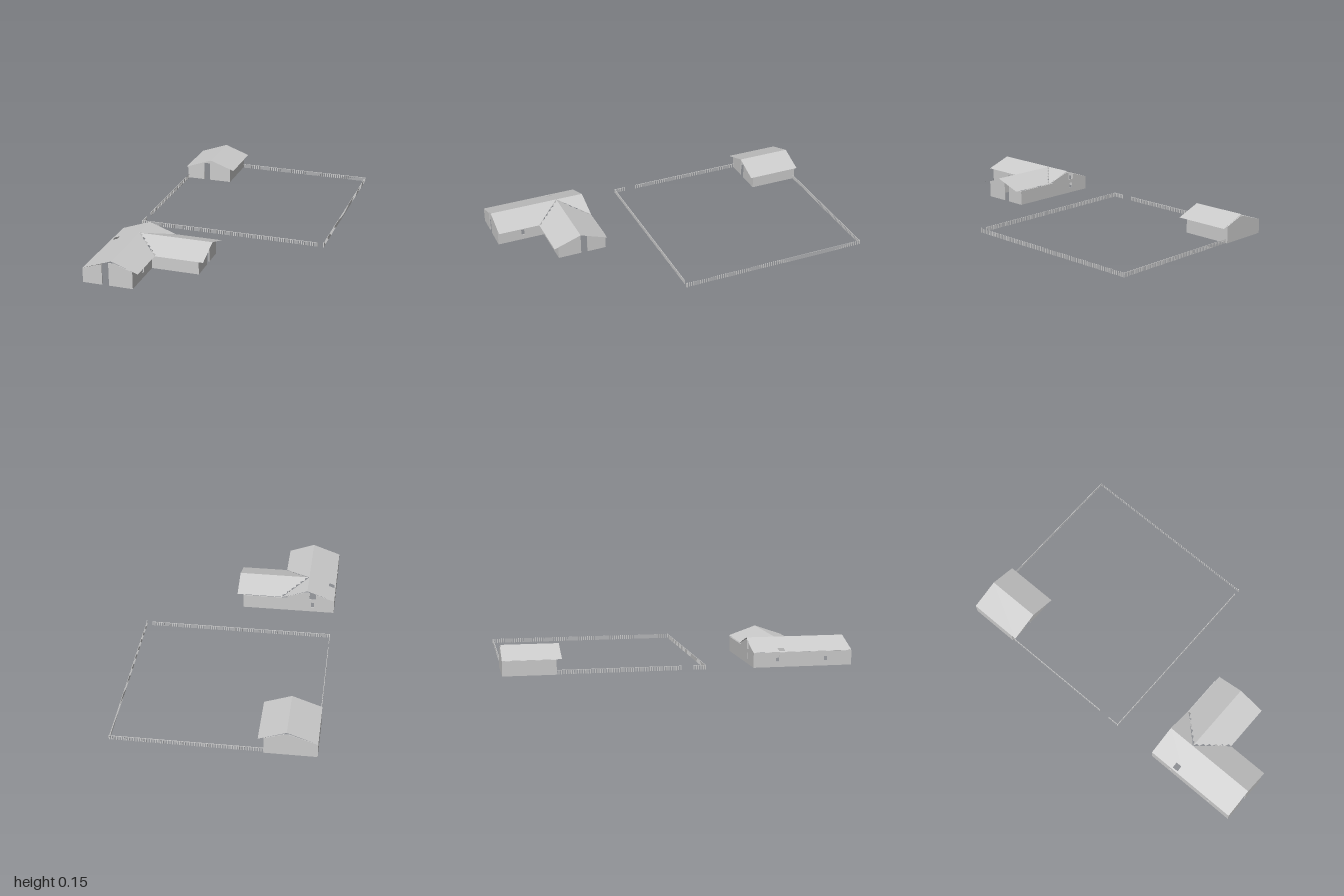
import * as THREE from 'three';

const T = 0.005; // wall thickness
const mat = new THREE.MeshStandardMaterial({ color: 0xcccccc, side: THREE.DoubleSide, flatShading: true });

const shapeOf = (pts) => new THREE.Shape(pts.map(([x, y]) => new THREE.Vector2(x, y)));
const rect = (x0, y0, x1, y1) => [[x0, y0], [x1, y0], [x1, y1], [x0, y1]];

function add(parent, name, geometry) {
  const mesh = new THREE.Mesh(geometry, mat);
  mesh.name = name;
  parent.add(mesh);
  return mesh;
}

// Upright wall: outline in (length, height). Along x, or along z with its thickness towards -x.
function wall(parent, name, pts, [x, z], alongZ = false, holes = []) {
  const shape = shapeOf(pts);
  holes.forEach((h) => shape.holes.push(new THREE.Path(h.map(([a, b]) => new THREE.Vector2(a, b)))));
  const mesh = add(parent, name, new THREE.ExtrudeGeometry(shape, { depth: T, bevelEnabled: false }));
  mesh.position.set(x, 0, z);
  if (alongZ) mesh.rotation.y = -Math.PI / 2;
}

// Thin roof sheet: plan outline in (x, z), lifted by a height rule
function roofSheet(parent, name, plan, height, hole) {
  const shape = shapeOf(plan.map(([x, z]) => [x, -z]));
  if (hole) shape.holes.push(new THREE.Path(hole.map(([x, z]) => new THREE.Vector2(x, -z))));
  const geo = new THREE.ShapeGeometry(shape);
  const p = geo.attributes.position;
  for (let i = 0; i < p.count; i++) {
    const x = p.getX(i), z = -p.getY(i);
    p.setXYZ(i, x, height(x, z), z);
  }
  geo.computeVertexNormals();
  add(parent, name, geo);
}

// Gable outlines with a flat peak; the doorway splits the wall into two panels
const W = 0.295;
const gableLeft = [[0, 0], [0.115, 0], [0.115, 0.122], [0, 0.084]];
const gableRight = [[0.155, 0], [W, 0], [W, 0.1], [0.19, 0.135], [0.155, 0.135]];
const gableFull = [[0, 0], [W, 0], [W, 0.1], [0.19, 0.135], [0.155, 0.135], [0, 0.084]];
const gableNotched = [[0, 0], [W, 0], [W, 0.1], [0.19, 0.135], [0.155, 0.135],
  [0.155, 0.088], [0.115, 0.088], [0.115, 0.122], [0, 0.084]];

function splitGable(parent, name, at, alongZ) {
  wall(parent, name + 'LeftPanel', gableLeft, at, alongZ);
  wall(parent, name + 'RightPanel', gableRight, at, alongZ);
}

const X0 = -0.575, X1 = -0.28, EAVE = -0.248, RIDGE = -0.404, TOP = 0.148, PITCH = 0.36;
const mainHeight = (x) => TOP - PITCH * Math.abs(x - RIDGE);
const windowAt = (s) => rect(s - 0.01, 0.03, s + 0.01, 0.065);

function createHouse() {
  const house = new THREE.Group();
  house.name = 'house';

  // Main wing walls
  splitGable(house, 'frontGable', [X0, 1 - T], false);
  wall(house, 'backGable', gableNotched, [X0, 0.42], false, [windowAt(0.135)]);
  wall(house, 'westWall', rect(0, 0, 0.58, 0.084), [X0 + T, 0.42], true, [windowAt(0.14), windowAt(0.425)]);
  wall(house, 'eastWall', rect(0, 0, 0.285, 0.1), [X1, 0.715], true, [windowAt(0.13)]);
  splitGable(house, 'partition', [X1, 0.42], true);

  // Side wing walls
  splitGable(house, 'wingGable', [0, 0.42], true);
  wall(house, 'wingNorthWall', rect(0, 0, -X1, 0.088), [X1, 0.42]);
  wall(house, 'wingSouthWall', rect(0, 0, -X1, 0.099), [X1, 0.715 - T]);

  // Main roof, cut open where the side wing joins
  const zc = 0.587, half = 0.163, run = EAVE - RIDGE;
  roofSheet(house, 'mainRoofWest', [[X0, 0.42], [RIDGE, 0.42], [RIDGE, 1], [X0, 1]], mainHeight,
    rect(-0.566, 0.572, -0.532, 0.608));
  roofSheet(house, 'mainRoofEast', [[RIDGE, 0.42], [EAVE, 0.42], [EAVE, zc - half], [RIDGE, zc],
    [EAVE, zc + half], [EAVE, 1], [RIDGE, 1]], mainHeight);

  // Side wing roof with a saw-tooth valley edge
  const wingHeight = (x, z) => TOP - (PITCH * run / half) * Math.abs(z - zc);
  for (const [side, label] of [[1, 'South'], [-1, 'North']]) {
    const plan = [[0.038, zc + side * half], [0.038, zc]];
    const teeth = 6;
    for (let i = 0; i <= teeth; i++) {
      const k = i / teeth;
      plan.push([RIDGE + run * k, zc + side * half * k]);
      if (i < teeth) plan.push([RIDGE + run * (k + 1 / teeth), zc + side * half * (k + 0.35 / teeth)]);
    }
    roofSheet(house, 'wingRoof' + label, plan, wingHeight);
  }
  return house;
}

function createBarn() {
  const barn = new THREE.Group();
  barn.name = 'barn';
  splitGable(barn, 'barnFrontGable', [X0, -0.7 - T], false);
  wall(barn, 'barnBackGable', gableFull, [X0, -1], false);
  wall(barn, 'barnWestWall', rect(0, 0, 0.3, 0.084), [X0 + T, -1], true);
  wall(barn, 'barnEastWall', rect(0, 0, 0.3, 0.1), [X1, -1], true);
  for (const [a, b, label] of [[X0, RIDGE, 'West'], [RIDGE, EAVE, 'East']]) {
    roofSheet(barn, 'barnRoof' + label, rect(a, -0.998, b, -0.67), mainHeight);
  }
  return barn;
}

// Row of pickets from one point to another, optionally with a top rail
function fenceRun(parent, name, [xa, za], [xb, zb], rail) {
  const run = new THREE.Group();
  run.name = name;
  const length = Math.hypot(xb - xa, zb - za);
  const n = Math.max(1, Math.round(length / 0.0135));
  const picket = new THREE.BoxGeometry(0.006, 0.025, 0.003);
  for (let i = 0; i <= n; i++) {
    add(run, 'picket', picket).position.set((i / n) * length, 0.0125, 0);
  }
  if (rail) {
    add(run, 'rail', new THREE.BoxGeometry(length, 0.002, 0.003)).position.set(length / 2, 0.024, 0);
  }
  run.position.set(xa, 0, za);
  run.rotation.y = -Math.atan2(zb - za, xb - xa);
  parent.add(run);
}

export function createModel() {
  const model = new THREE.Group();
  model.name = 'farmstead';
  model.add(createHouse(), createBarn());

  // Paddock fence with a gate opening in the west and a gap at the south-east corner
  const fence = new THREE.Group();
  fence.name = 'fence';
  fenceRun(fence, 'southFence', [-0.567, 0.142], [0.533, 0.142], true);
  fenceRun(fence, 'northFence', [X1, -0.99], [0.57, -0.99], true);
  fenceRun(fence, 'westFence', [-0.567, -0.7], [-0.567, 0], true);
  fenceRun(fence, 'westFenceCorner', [-0.567, 0.075], [-0.567, 0.142], true);
  fenceRun(fence, 'eastFence', [0.57, -0.99], [0.57, 0.14], false);
  add(fence, 'cornerPost', new THREE.BoxGeometry(0.007, 0.028, 0.007)).position.set(0.571, 0.014, 0.142);
  model.add(fence);
  return model;
}
